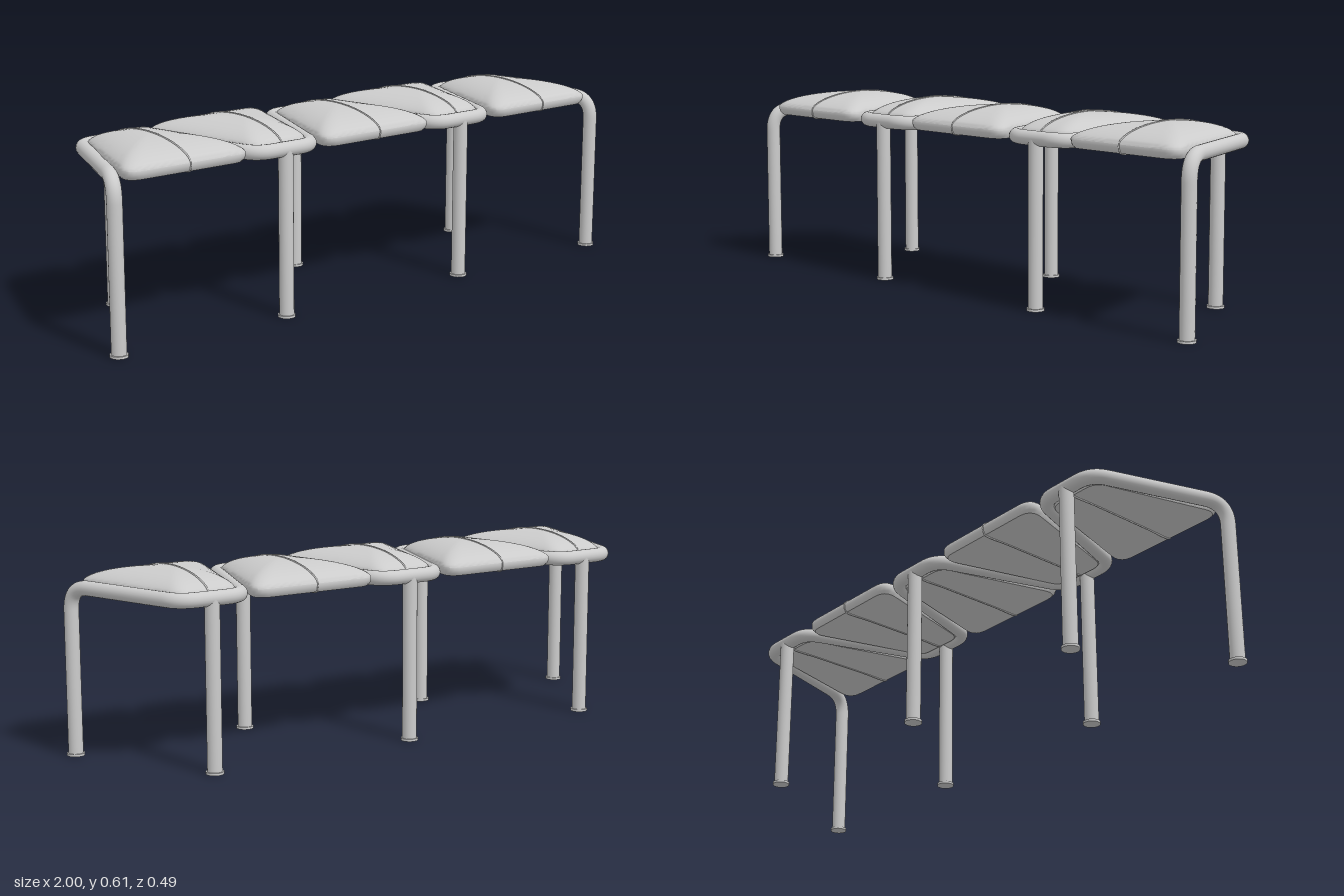
import * as THREE from 'three';
import { toCreasedNormals } from 'three/addons/utils/BufferGeometryUtils.js';

const RAIL_Y = 0.537, TUBE_R = 0.0235, LEG_Z = 0.218, PITCH = 0.36, END_X = 0.972;
const V = (x, y, z) => new THREE.Vector3(x, y, z);

// Polyline whose corners are rounded; each corner is [point, cut length].
function roundedPath(corners, closed = false) {
  const path = new THREE.CurvePath();
  const n = corners.length;
  const toward = (a, b, d) => a.clone().add(b.clone().sub(a).setLength(d));
  let first = null, last = null;
  corners.forEach(([p, cut], i) => {
    const isEnd = !closed && (i === 0 || i === n - 1);
    const before = isEnd ? p : toward(p, corners[(i + n - 1) % n][0], cut);
    const after = isEnd ? p : toward(p, corners[(i + 1) % n][0], cut);
    if (last) path.add(new THREE.LineCurve3(last, before));
    if (!isEnd) path.add(new THREE.QuadraticBezierCurve3(before, p, after));
    first = first || before;
    last = after;
  });
  if (closed) path.add(new THREE.LineCurve3(last, first));
  return path;
}

// Cushion cross-section from underside centre to crown: [scale, height].
const CROWN = 0.605, RIM = 0.55, CENTRE_Z = 0.015, FRONT_Z = 0.238, BACK_Z = -0.2;
const profile = [[0, 0.522], [0.5, 0.522], [0.955, 0.522], [0.985, 0.53], [0.998, 0.54]];
for (let i = 0; i <= 14; i++) {
  const s = Math.cos((i / 14) * Math.PI / 2);
  profile.push([s, RIM + (CROWN - RIM) * Math.pow(1 - s * s, 0.6)]);
}

// Domed trapezoid lofted from scaled copies of its rounded outline.
function cushionGeometry() {
  const w = 0.226, b = 0.1;
  const outline = roundedPath([
    [V(-w, 0, FRONT_Z), 0.06], [V(w, 0, FRONT_Z), 0.06],
    [V(b, 0, BACK_Z), 0.04], [V(-b, 0, BACK_Z), 0.04],
  ], true).getSpacedPoints(96);
  const position = [], index = [], m = outline.length;
  profile.forEach(([s, y], i) => {
    outline.forEach((p, j) => {
      position.push(p.x * s, y, CENTRE_Z + (p.z - CENTRE_Z) * s);
      if (i === 0 || j === 0) return;
      const d = i * m + j, c = d - 1, f = d - m, e = f - 1;
      index.push(e, f, d, e, d, c);
    });
  });
  const g = new THREE.BufferGeometry();
  g.setAttribute('position', new THREE.Float32BufferAttribute(position, 3));
  g.setIndex(index);
  return toCreasedNormals(g, 0.7);
}

// Thin piping that runs round the middle of a cushion.
function seamGeometry() {
  const front = profile.slice(1).map(([s, y]) => V(0, y, CENTRE_Z + (FRONT_Z - CENTRE_Z) * s));
  const back = profile.slice(1, -1).map(([s, y]) => V(0, y, CENTRE_Z + (BACK_Z - CENTRE_Z) * s));
  const curve = new THREE.CatmullRomCurve3([...front, ...back.reverse()], true);
  return new THREE.TubeGeometry(curve, 90, 0.003, 6, true);
}

export function createModel() {
  const model = new THREE.Group();
  model.name = 'bench';
  const material = new THREE.MeshStandardMaterial({ color: 0xcccccc });
  const add = (name, geometry, parent = model) => {
    const mesh = new THREE.Mesh(geometry, material);
    mesh.name = name;
    parent.add(mesh);
    return mesh;
  };

  // Continuous bent tube: end leg, zigzag rail, end leg
  const seats = [-2, -1, 0, 1, 2];
  const corners = [[V(-END_X, 0.004, LEG_Z), 0], [V(-END_X, RAIL_Y, LEG_Z), 0.075]];
  for (const k of seats) {
    const z = k % 2 === 0 ? -LEG_Z : LEG_Z;
    for (const side of [-1, 1]) corners.push([V(k * PITCH + side * 0.106, RAIL_Y, z), 0.055]);
  }
  corners.push([V(END_X, RAIL_Y, LEG_Z), 0.075], [V(END_X, 0.004, LEG_Z), 0]);
  add('frameTube', new THREE.TubeGeometry(roundedPath(corners), 500, TUBE_R, 20));

  // Feet, straight legs and cushions
  const footGeometry = new THREE.CylinderGeometry(0.028, 0.028, 0.008, 24);
  const legGeometry = new THREE.CylinderGeometry(TUBE_R, TUBE_R, RAIL_Y - 0.004, 20);
  const cushion = cushionGeometry(), seam = seamGeometry();
  const foot = (x, z) => add('foot', footGeometry).position.set(x, 0.004, z);
  foot(-END_X, LEG_Z);
  foot(END_X, LEG_Z);
  for (const k of seats) {
    const flipped = k % 2 !== 0;
    const z = flipped ? LEG_Z : -LEG_Z;
    add('leg', legGeometry).position.set(k * PITCH, (RAIL_Y + 0.004) / 2, z);
    foot(k * PITCH, z);
    const seat = new THREE.Group();
    seat.name = 'seat';
    add('cushion', cushion, seat);
    add('seam', seam, seat);
    seat.position.x = k * PITCH;
    seat.rotation.y = flipped ? Math.PI : 0;
    model.add(seat);
  }
  return model;
}
